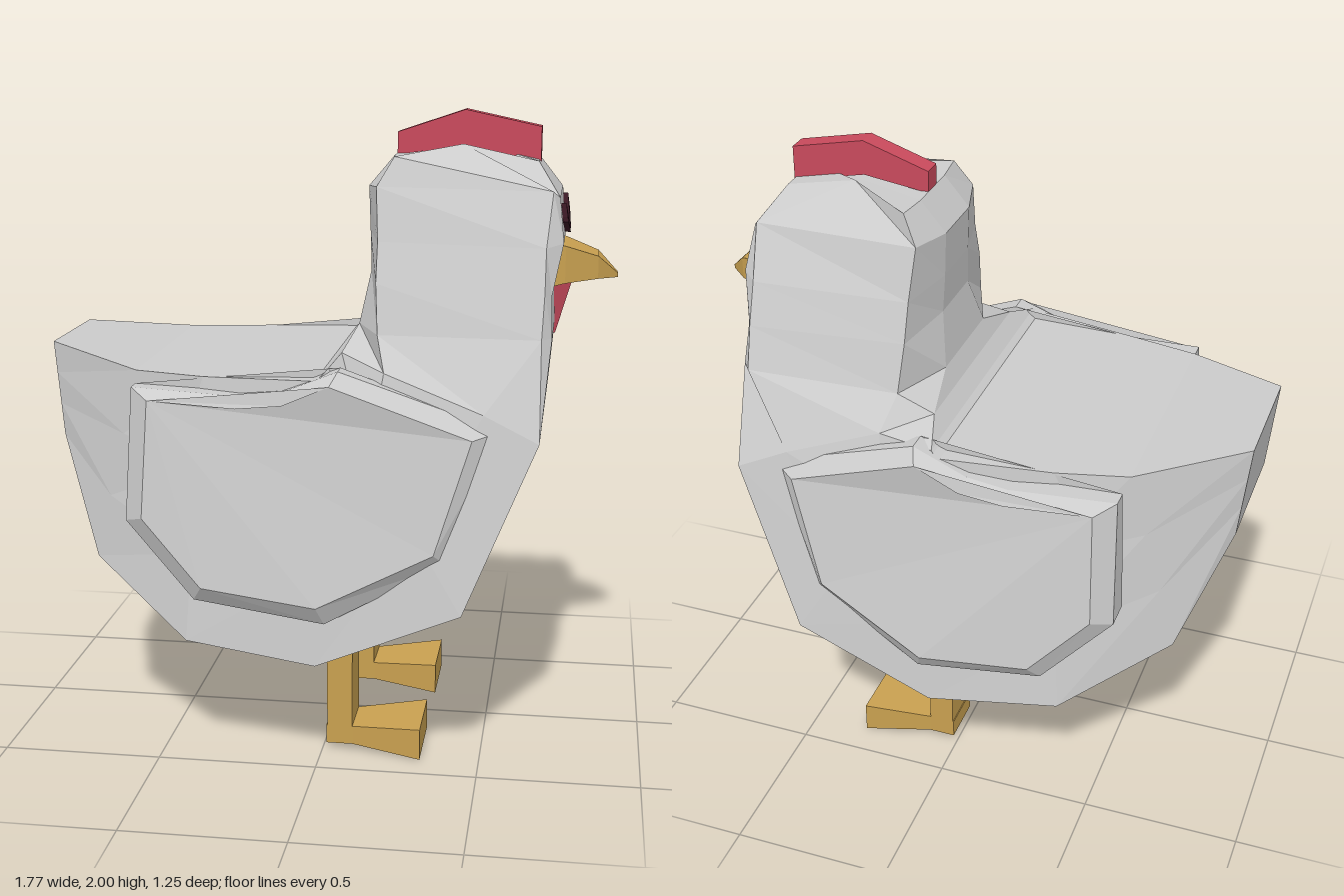
import * as THREE from 'three';

const mat = (color) => new THREE.MeshStandardMaterial({ color, flatShading: true, side: THREE.DoubleSide });

// Joins rings of [x, y, z] corners into a closed, flat shaded solid facing outward
function loft(rings) {
  const n = rings[0].length, pts = rings.flat(), tris = [];
  for (let r = 0; r < rings.length - 1; r++) {
    for (let i = 0; i < n; i++) {
      const a = r * n + i, b = r * n + (i + 1) % n;
      tris.push([a, b, b + n], [a, b + n, a + n]);
    }
  }
  const last = (rings.length - 1) * n;
  for (let i = 1; i < n - 1; i++) tris.push([0, i + 1, i], [last, last + i, last + i + 1]);
  // signed volume decides the winding
  const v = (i) => new THREE.Vector3(...pts[i]);
  let volume = 0;
  for (const [a, b, c] of tris) volume += v(a).dot(v(b).cross(v(c)));
  if (volume < 0) tris.forEach((t) => t.reverse());
  const geo = new THREE.BufferGeometry();
  geo.setAttribute('position', new THREE.Float32BufferAttribute(tris.flat().flatMap((i) => pts[i]), 3));
  geo.computeVertexNormals();
  return geo;
}

// Ring across the middle plane from half corners [x, y, halfWidth]
const mirrorRing = (half) => [...half, ...half.map(([x, y, w]) => [x, y, -w]).reverse()];

// Body section running straight from the underside to the back
function section(low, high) {
  return [0, 1 / 3, 2 / 3, 1].map((t) => low.map((c, i) => c + (high[i] - c) * t));
}

// Box-like ring at x: bottom, top, half width, centre z
const boxRing = (x, y0, y1, w, z = 0) => [[x, y0, z - w], [x, y0, z + w], [x, y1, z + w], [x, y1, z - w]];

export function createModel() {
  const model = new THREE.Group();
  const grey = mat(0xcccccc), red = mat(0xc94a5c), gold = mat(0xc8a050), dark = mat(0x3a1824);
  const add = (name, geo, material, parent = model) => {
    const mesh = new THREE.Mesh(geo, material);
    mesh.name = name;
    parent.add(mesh);
  };

  // Body, neck and head: sections fan from tail through chest up to the crown
  const halves = [
    section([-0.86, 0.97, 0.21], [-0.89, 1.27, 0.2]),
    section([-0.72, 0.61, 0.35], [-0.57, 1.225, 0.39]),
    section([-0.4, 0.405, 0.52], [-0.35, 1.222, 0.44]),
    section([0.01, 0.365, 0.575], [0, 1.23, 0.495]),
    section([0.45, 0.545, 0.575], [0.02, 1.245, 0.48]),
    [[0.665, 1.06, 0.495], [0.5, 1.14, 0.485], [0.2, 1.25, 0.45], [0.06, 1.29, 0.35]],
    [[0.69, 1.35, 0.35], [0.66, 1.35, 0.39], [0.17, 1.35, 0.37], [0.09, 1.35, 0.17]],
    [[0.685, 1.47, 0.31], [0.665, 1.48, 0.345], [0.16, 1.5, 0.33], [0.12, 1.51, 0.11]],
    [[0.715, 1.62, 0.25], [0.665, 1.61, 0.3], [0.16, 1.62, 0.29], [0.115, 1.63, 0.1]],
    [[0.7, 1.75, 0.19], [0.68, 1.77, 0.22], [0.15, 1.78, 0.245], [0.11, 1.77, 0.1]],
    [[0.63, 1.85, 0.09], [0.4, 1.9, 0.1], [0.2, 1.868, 0.21], [0.19, 1.865, 0.1]],
  ];
  add('body', loft(halves.map(mirrorRing)), grey);

  // Comb: arched strip along the crown
  add('comb', loft([[0.19, 1.86, 1.93], [0.4, 1.89, 2], [0.635, 1.84, 1.95]]
    .map(([x, y0, y1]) => boxRing(x, y0, y1, 0.033))), red);

  // Beak and wattle
  add('beak', loft([boxRing(0.68, 1.47, 1.605, 0.125), boxRing(0.72, 1.48, 1.595, 0.122),
    boxRing(0.82, 1.49, 1.56, 0.075), boxRing(0.882, 1.488, 1.5, 0.015)]), gold);
  const wattleRing = (y, x0, x1, w) => [[x0, y, -w], [x1, y, -w], [x1, y, w], [x0, y, w]];
  add('wattle', loft([wattleRing(1.48, 0.67, 0.74, 0.078), wattleRing(1.31, 0.67, 0.692, 0.03)]), red);

  // Wing outlines in side view: rim and smaller raised face
  const rim = [[-0.56, 1.195], [-0.23, 1.18], [-0.1, 1.195], [0.07, 1.262], [0.555, 1.09],
    [0.4, 0.69], [0.04, 0.505], [-0.36, 0.56], [-0.575, 0.79]];
  const face = [[-0.5, 1.165], [-0.23, 1.152], [-0.09, 1.165], [0.05, 1.225], [0.47, 1.07],
    [0.365, 0.73], [0.02, 0.565], [-0.33, 0.61], [-0.515, 0.81]];
  const wingZ = (x, y) => 0.685 - 0.11 * y - 0.12 * Math.max(0, x - 0.1) - 0.06 * Math.max(0, -x - 0.3);

  for (const [side, s] of [['left', -1], ['right', 1]]) {
    add(side + 'Wing', loft([
      rim.map(([x, y]) => [x, y, s * 0.44]),
      rim.map(([x, y]) => [x, y, s * (wingZ(x, y) - 0.045)]),
      face.map(([x, y]) => [x, y, s * wingZ(x, y)]),
    ]), grey);

    // Slanted eye lying on the sloping face
    const eye = [[0.045, 1.655, 1.63], [0.085, 1.69, 1.65], [0.155, 1.73, 1.67], [0.17, 1.69, 1.675]];
    add(side + 'Eye', loft(eye.map(([z, top, low]) => [[top, -0.03], [top, 0.015], [low, 0.015], [low, -0.03]]
      .map(([y, d]) => [0.7 + (1.75 - y) * 0.14 + d, y, s * z]))), dark);

    // Leg and spreading foot
    const leg = new THREE.Group();
    leg.name = side + 'Leg';
    model.add(leg);
    const shin = new THREE.BoxGeometry(0.08, 0.4, 0.16);
    shin.translate(0.055, 0.25, s * 0.275);
    add('shin', shin, gold, leg);
    add('foot', loft([boxRing(0.012, 0.02, 0.08, 0.08, s * 0.275), boxRing(0.097, 0.02, 0.08, 0.08, s * 0.275),
      boxRing(0.315, 0, 0.1, 0.125, s * 0.275)]), gold, leg);
  }
  return model;
}
